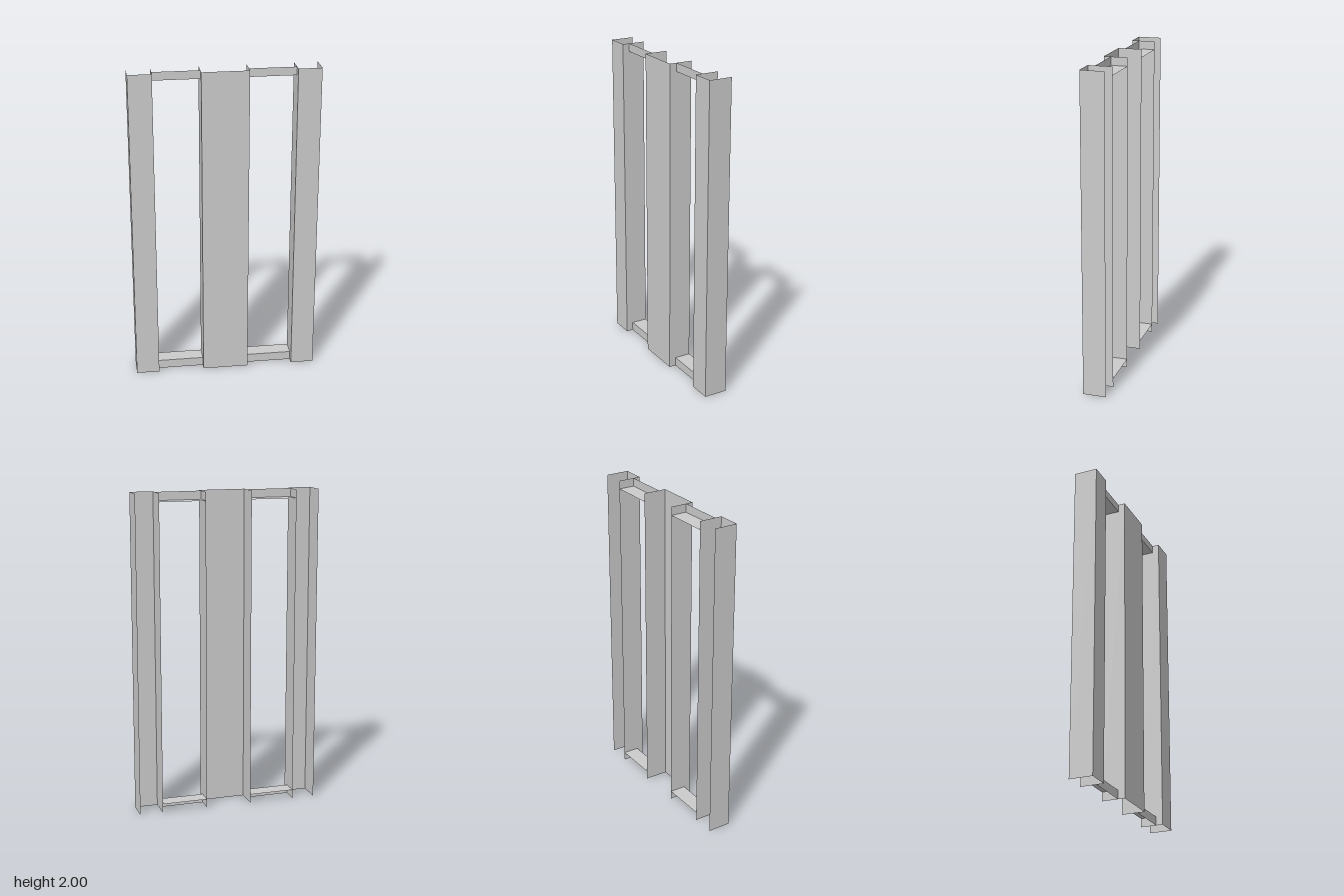
import * as THREE from 'three';

const material = new THREE.MeshStandardMaterial({ color: 0xcccccc, side: THREE.DoubleSide, flatShading: true });

const HEIGHT = 2, FRONT = 0.073, BACK = -0.073;
const OUTER = 0.58, JAMB = 0.435, MULLION = 0.145;

// flat sheet of w x h, centred on (x, y, z) and turned by rx, ry
function sheet(parent, name, w, h, [x, y, z], rx = 0, ry = 0) {
  const mesh = new THREE.Mesh(new THREE.PlaneGeometry(w, h), material);
  mesh.name = name;
  mesh.position.set(x, y, z);
  mesh.rotation.set(rx, ry, 0);
  parent.add(mesh);
}

// upright channel: front face with a flange folded back on each side
function upright(name, x0, x1) {
  const group = new THREE.Group();
  group.name = name;
  const y = HEIGHT / 2, depth = FRONT - BACK;
  sheet(group, 'frontFace', x1 - x0, HEIGHT, [(x0 + x1) / 2, y, FRONT]);
  sheet(group, 'rightFlange', depth, HEIGHT, [x0, y, 0], 0, -Math.PI / 2);
  sheet(group, 'leftFlange', depth, HEIGHT, [x1, y, 0], 0, Math.PI / 2);
  return group;
}

// angle rail: recessed vertical lip with a horizontal ledge running to the back
function rail(name, side, y0, y1, ledgeY) {
  const group = new THREE.Group();
  group.name = name;
  const lipZ = 0.029, w = JAMB - MULLION, x = side * (JAMB + MULLION) / 2;
  sheet(group, 'lip', w, y1 - y0, [x, (y0 + y1) / 2, lipZ]);
  sheet(group, 'ledge', w, lipZ - BACK, [x, ledgeY, (lipZ + BACK) / 2], -Math.PI / 2);
  return group;
}

export function createModel() {
  const model = new THREE.Group();
  model.name = 'doubleFrame';

  // three uprights
  model.add(upright('rightJamb', -OUTER, -JAMB));
  model.add(upright('mullion', -MULLION, MULLION));
  model.add(upright('leftJamb', JAMB, OUTER));

  // head and sill rails in both bays
  for (const [label, side] of [['right', -1], ['left', 1]]) {
    model.add(rail(label + 'HeadRail', side, 1.948, HEIGHT, 1.948));
    model.add(rail(label + 'SillRail', side, 0, 0.056, 0.056));
  }
  return model;
}
